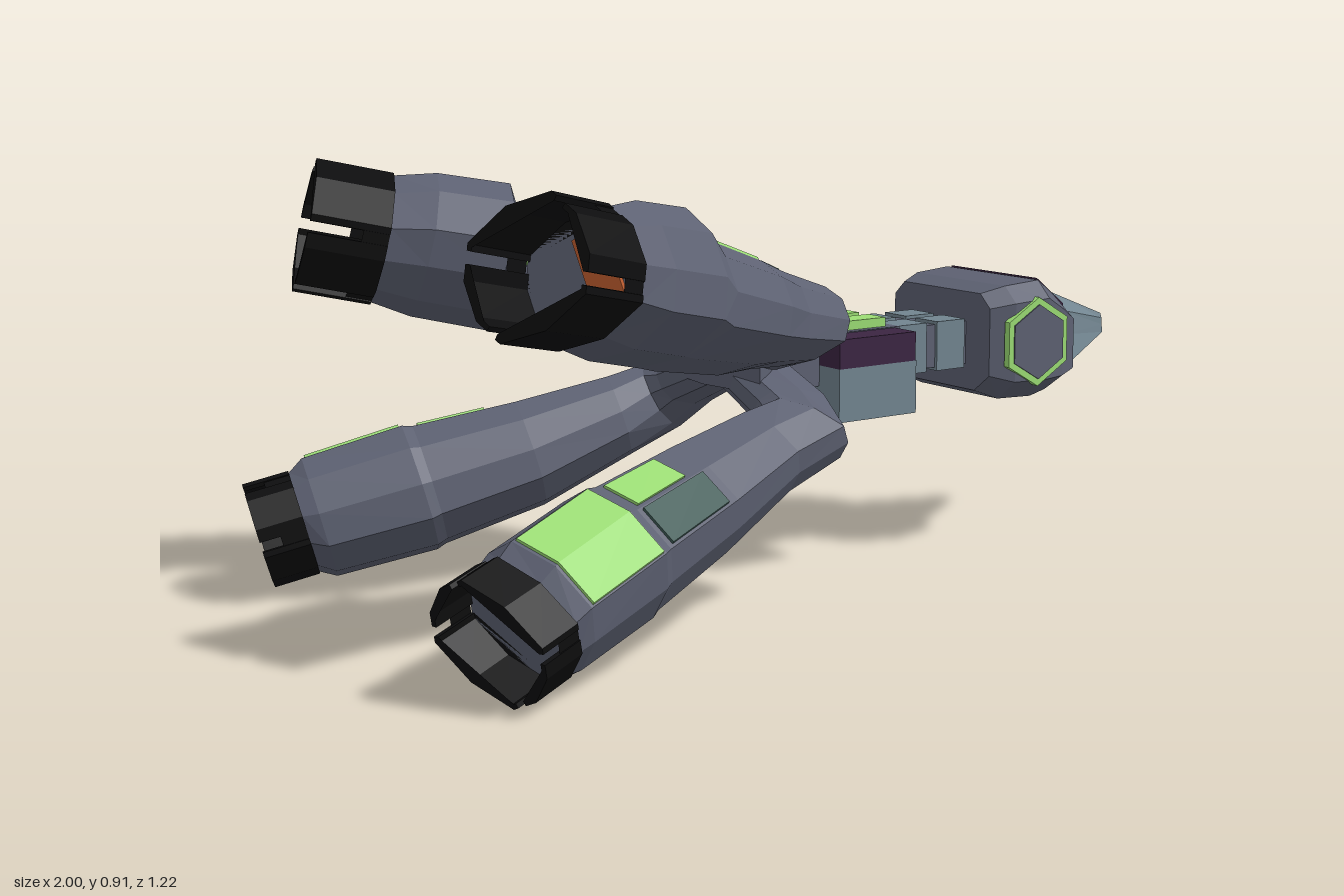
import * as THREE from 'three';

const mat = (name, color) => Object.assign(new THREE.MeshStandardMaterial({ color, flatShading: true }), { name });
const hull = mat('hull grey', 0x5d6172);
const steel = mat('pale steel', 0x728590);
const green = mat('light green', 0x9bdd74);
const purple = mat('dark purple', 0x3b2542);
const teal = mat('dark teal', 0x3c5a55);
const black = mat('nozzle black', 0x0d0d0e);
const orange = mat('burnt orange', 0xb4572b);
black.side = THREE.DoubleSide;

const V = (x, y, z) => new THREE.Vector3(x, y, z);

// Skin a list of point rings; faces are turned outward by the sign of the volume
function loft(name, rings, material, caps = true) {
  const tris = [];
  const n = rings[0].length;
  for (let i = 0; i < rings.length - 1; i++) {
    for (let j = 0; j < n; j++) {
      const k = (j + 1) % n;
      const [a, b, c, d] = [rings[i][j], rings[i][k], rings[i + 1][k], rings[i + 1][j]];
      tris.push([a, b, c], [a, c, d]);
    }
  }
  if (caps) {
    const first = rings[0], last = rings[rings.length - 1];
    for (let j = 1; j < n - 1; j++) {
      tris.push([first[0], first[j + 1], first[j]], [last[0], last[j], last[j + 1]]);
    }
  }
  const mid = V(0, 0, 0);
  rings.flat().forEach(p => mid.addScaledVector(p, 1 / (n * rings.length)));
  let volume = 0;
  for (const [a, b, c] of tris) {
    volume += a.clone().sub(mid).dot(b.clone().sub(mid).cross(c.clone().sub(mid)));
  }
  const pts = tris.flatMap(t => (volume < 0 ? [t[0], t[2], t[1]] : t));
  const geo = new THREE.BufferGeometry().setFromPoints(pts);
  geo.computeVertexNormals();
  const mesh = new THREE.Mesh(geo, material);
  mesh.name = name;
  return mesh;
}

function box(name, x0, x1, y0, y1, z0, z1, material) {
  const mesh = new THREE.Mesh(new THREE.BoxGeometry(x1 - x0, y1 - y0, z1 - z0), material);
  mesh.position.set((x0 + x1) / 2, (y0 + y1) / 2, (z0 + z1) / 2);
  mesh.name = name;
  return mesh;
}

const mix = (A, B, u) => A.map((v, i) => v + (B[i] - v) * u);

// Arm cross-section, with a soft ridge along the middle of the broad faces
const SECTION = [[0.75, 0.82], [1, 0.32], [1, -0.32], [0.75, -0.82], [0, -1],
  [-0.75, -0.82], [-1, -0.32], [-1, 0.32], [-0.75, 0.82], [0, 1]];
const faceHeight = q => 1 - 0.24 * Math.abs(q);
const onSection = f => mix(SECTION[Math.floor(f) % 10], SECTION[(Math.floor(f) + 1) % 10], f % 1);
const PETALS = [[0.55, 1, 2, 2.45], [2.8, 3, 4, 5, 5.2], [5.55, 6, 7, 7.45], [7.8, 8, 9, 10, 10.2]];

// Arm stations: x, distance from the hub line, bend in degrees, half width, half height, sideways shift
const UPPER = [[-0.07, 0.05, 0, 0.07, 0.05, -0.01], [-0.07, 0.2, 12, 0.08, 0.06, -0.045],
  [-0.09, 0.275, 42, 0.095, 0.075, -0.055], [-0.19, 0.3, 62, 0.095, 0.09, -0.045], [-0.27, 0.325, 65, 0.118, 0.1, -0.045],
  [-0.435, 0.375, 65, 0.13, 0.115, -0.025], [-0.465, 0.385, 65, 0.14, 0.145, 0.008], [-0.61, 0.445, 65, 0.137, 0.14, 0.005],
  [-0.69, 0.48, 65, 0.128, 0.118, 0]];
const LOWER = [[-0.07, 0.05, 0, 0.07, 0.05, 0.015], [-0.07, 0.2, 12, 0.08, 0.055, 0.055],
  [-0.09, 0.275, 42, 0.095, 0.07, 0.065], [-0.2, 0.3, 62, 0.09, 0.085, 0.04], [-0.4, 0.375, 64, 0.112, 0.112, 0.012],
  [-0.61, 0.46, 65, 0.124, 0.127, 0.008], [-0.63, 0.468, 65, 0.13, 0.134, 0.008], [-0.83, 0.555, 65, 0.128, 0.125, 0.01],
  [-0.86, 0.57, 65, 0.122, 0.1, 0.01]];

function makeArm(name, stations, degrees, side, petalLength, panels) {
  const arm = new THREE.Group();
  arm.name = name;
  const a = THREE.MathUtils.degToRad(degrees);
  const at = ([x, R, bend, w, h, shift], m, t, lift = 0) => {
    const f = THREE.MathUtils.degToRad(bend);
    const r = R + Math.sin(f) * m * w;
    const up = shift + t * h + lift;
    return V(x + Math.cos(f) * m * w, 0.48 + r * Math.sin(a) + up * Math.cos(a), side * (r * Math.cos(a) - up * Math.sin(a)));
  };
  const trace = (s, shape, k = 1) => shape.map(([m, t]) => at(s, m * k, t * k));
  const end = stations[stations.length - 1];
  const beyond = d => [end[0] - d, end[1] + d * 0.42, ...end.slice(2)];

  arm.add(loft('armHull', stations.map(s => trace(s, SECTION)), hull));

  // Painted plates on the ridged face
  for (const [i, u0, u1, q0, q1, material, label] of panels) {
    const A = mix(stations[i], stations[i + 1], u0), B = mix(stations[i], stations[i + 1], u1);
    const loop = lift => [[A, q0], [A, q1], [B, q1], [B, q0]].map(([s, q]) => at(s, q, faceHeight(q), lift));
    arm.add(loft(label, [loop(-0.002), loop(0.006)], material));
  }

  // Nozzle collar and four petals
  arm.add(loft('nozzleCollar', [trace(end, SECTION, 1.02), trace(beyond(0.05), SECTION, 1.02)], black, false));
  for (const petal of PETALS) {
    const shape = petal.map(onSection);
    const loop = s => [...trace(s, shape, 1.04), ...trace(s, shape, 0.96).reverse()];
    arm.add(loft('nozzlePetal', [loop(end), loop(beyond(petalLength))], black));
  }
  return { arm, trace, end, beyond };
}

function makeHead() {
  const head = new THREE.Group();
  head.name = 'head';
  // Cockpit shell: x, bottom, top, half width
  const shell = [[0.5, 0.37, 0.59, 0.165], [0.555, 0.348, 0.605, 0.19], [0.65, 0.345, 0.612, 0.195], [0.7, 0.355, 0.577, 0.188], [0.75, 0.375, 0.54, 0.17]];
  const section = [[0.8, 1], [1, 0.72], [1, -0.65], [0.7, -1]];
  const mirrored = half => [...half, ...half.map(([z, y]) => [-z, y]).reverse()];
  const ring = ([x, lo, hi, w], shape) => shape.map(([z, y]) => V(x, (lo + hi) / 2 + y * (hi - lo) / 2, z * w));
  head.add(loft('cockpitShell', shell.map(s => ring(s, mirrored(section))), hull));

  // Nose cone, ridged on top and flaring to the chin
  const noseShape = [[0, 1], ...mirrored([[0.6, 0.5], [0.72, -0.2], [1, -1]])];
  const nose = [[0.72, 0.36, 0.562, 0.11], [0.83, 0.395, 0.556, 0.075], [1, 0.445, 0.49, 0.008]].map(s => ring(s, noseShape));
  head.add(loft('noseBase', nose.slice(0, 2), hull), loft('noseTip', nose.slice(1), steel));

  // Sloped windshield
  const pane = d => [V(0.655, 0.61 + d, -0.147), V(0.655, 0.61 + d, 0.147), V(0.75, 0.543 + d, 0.134), V(0.75, 0.543 + d, -0.134)];
  head.add(loft('windshield', [pane(-0.004), pane(0.005)], purple));

  // Hexagonal side hatches
  for (const s of [1, -1]) {
    const hex = (r, z) => Array.from({ length: 6 }, (_, i) =>
      V(0.615 + r * Math.sin(i * Math.PI / 3), 0.48 + r * Math.cos(i * Math.PI / 3), s * z));
    head.add(loft('hatchRim', [hex(0.1, 0.183), hex(0.1, 0.199)], green));
    head.add(loft('hatchCover', [hex(0.084, 0.195), hex(0.084, 0.202)], hull));
  }
  return head;
}

export function createModel() {
  const ship = new THREE.Group();
  ship.name = 'ship';

  // Spine and hub
  ship.add(box('spine', -0.02, 0.3, 0.42, 0.53, -0.095, 0.095, hull));
  const hubRing = y => [V(0, y, 0.1), V(0, y, -0.1), V(-0.13, y, -0.17), V(-0.155, y, 0), V(-0.13, y, 0.17)];
  ship.add(loft('hub', [hubRing(0.435), hubRing(0.525)], hull));
  ship.add(box('neckCore', 0.28, 0.52, 0.427, 0.523, -0.085, 0.085, hull));

  // Cargo pod
  ship.add(box('cargoPod', 0.08, 0.29, 0.35, 0.465, -0.165, 0.165, steel));
  for (const s of [1, -1]) {
    ship.add(box('shoulderBlock', 0.08, 0.287, 0.465, 0.528, s * 0.128 - 0.038, s * 0.128 + 0.038, purple));
    ship.add(box('topPanel', 0.09, 0.275, 0.525, 0.55, s * 0.047 - 0.03, s * 0.047 + 0.03, green));
    for (const x of [0.3, 0.41]) {
      ship.add(box('neckBlock', x, x + 0.08, 0.42, 0.53, s * 0.054 - 0.038, s * 0.054 + 0.038, steel));
    }
  }
  ship.add(makeHead());

  // Four engine arms
  const upperPanels = [
    [4, 0.06, 0.98, 0, 0.75, green, 'greenPanel'],
    [4, 0.06, 0.98, -0.75, 0, green, 'greenPanel'],
    [3, 0.1, 0.9, 0.06, 0.7, teal, 'tealPanel'],
    [3, 0.15, 0.92, -0.72, -0.05, green, 'smallGreenPanel'],
  ];
  const lowerPanels = [
    [6, 0.03, 0.97, 0, 0.72, green, 'greenPanel'],
    [6, 0.03, 0.97, -0.72, 0, green, 'greenPanel'],
    [4, 0.12, 0.95, 0.04, 0.7, teal, 'tealPanel'],
    [4, 0.3, 0.95, -0.68, -0.06, green, 'smallGreenPanel'],
  ];
  for (const s of [1, -1]) {
    const label = s > 0 ? 'front' : 'rear';
    const { arm, trace, end, beyond } = makeArm(label + 'UpperArm', UPPER, 33, s, 0.15, upperPanels);
    // Glowing plate inside the upper nozzles
    const glow = [[0.05, 0.6], [0.6, 0.6], [0.6, -0.6], [0.05, -0.6]];
    arm.add(loft('exhaustGlow', [trace(end, glow), trace(beyond(0.009), glow)], orange));
    ship.add(arm, makeArm(label + 'LowerArm', LOWER, -37, s, 0.09, lowerPanels).arm);
  }
  return ship;
}
